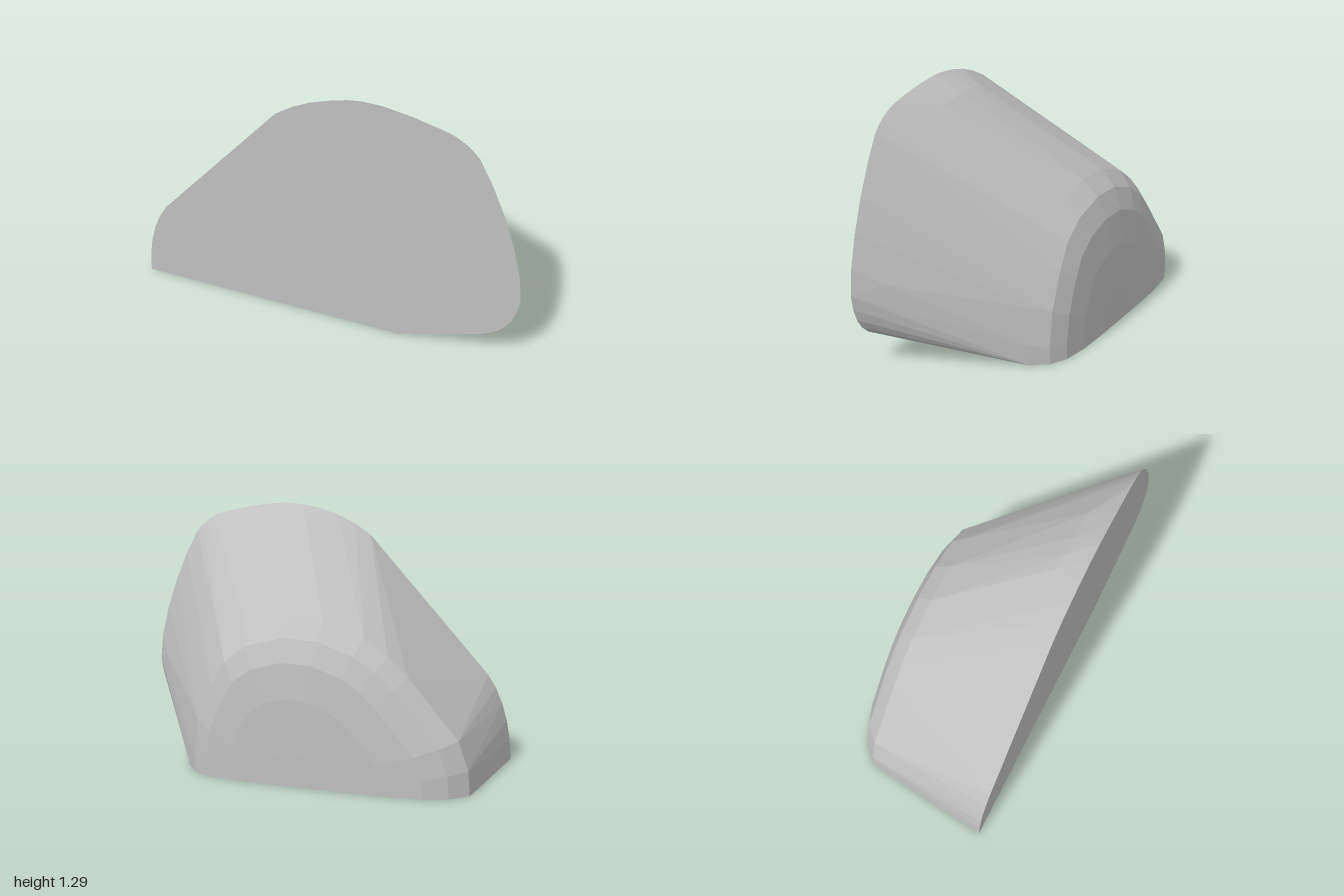
import * as THREE from 'three';
import { ConvexGeometry } from 'three/addons/geometries/ConvexGeometry.js';

const FRONT_Z = 0.41;

// Outline of the flat front face, counter-clockwise from the floor
function frontOutline() {
  const s = new THREE.Shape();
  s.moveTo(0.4, 0);
  s.lineTo(0.83, 0.14);
  s.quadraticCurveTo(0.985, 0.2, 1, 0.4);
  s.bezierCurveTo(1, 0.6, 0.87, 0.95, 0.76, 1.13);
  s.quadraticCurveTo(0.69, 1.215, 0.58, 1.24);
  s.quadraticCurveTo(0.4, 1.285, 0.25, 1.295);
  s.quadraticCurveTo(-0.02, 1.295, -0.23, 1.14);
  s.lineTo(-0.87, 0.44);
  s.quadraticCurveTo(-0.99, 0.28, -1, 0);
  return s.getPoints(5);
}

// Half-dome outline where the sloping sides meet the rounded back
const shoulder = [
  [-0.93, 0], [-0.92, 0.12], [-0.87, 0.26], [-0.62, 0.55], [-0.52, 0.64], [-0.4, 0.72], [-0.2, 0.785],
  [0, 0.79], [0.2, 0.735], [0.33, 0.64], [0.41, 0.5], [0.49, 0.3], [0.515, 0.1], [0.515, 0],
];

// The back rounds off by shrinking the shoulder toward its middle on the floor
const backRings = [
  { z: -0.26, scale: 1 }, { z: -0.34, scale: 0.9 }, { z: -0.385, scale: 0.76 },
  { z: -0.405, scale: 0.54 }, { z: -0.41, scale: 0.22 },
];
const MIDDLE_X = -0.1;

// Slight swelling just behind the front edge
const swelling = [[0.08, 1.21], [0.15, 1.218], [0.25, 1.215], [0.4, 1.19], [0.9, 0.45]];

export function createModel() {
  const group = new THREE.Group();
  group.name = 'boulder';
  const stone = new THREE.MeshStandardMaterial({ color: 0xc0c0c0 });
  stone.name = 'grey stone';

  // Faceted convex skin around all the sections
  const points = frontOutline().map((p) => new THREE.Vector3(p.x, p.y, FRONT_Z));
  for (const [x, y] of swelling) points.push(new THREE.Vector3(x, y, 0.28));
  for (const { z, scale } of backRings) {
    for (const [x, y] of shoulder) {
      points.push(new THREE.Vector3(MIDDLE_X + (x - MIDDLE_X) * scale, y * scale, z));
    }
  }
  const body = new THREE.Mesh(new ConvexGeometry(points), stone);
  body.name = 'stoneBody';
  group.add(body);
  return group;
}
